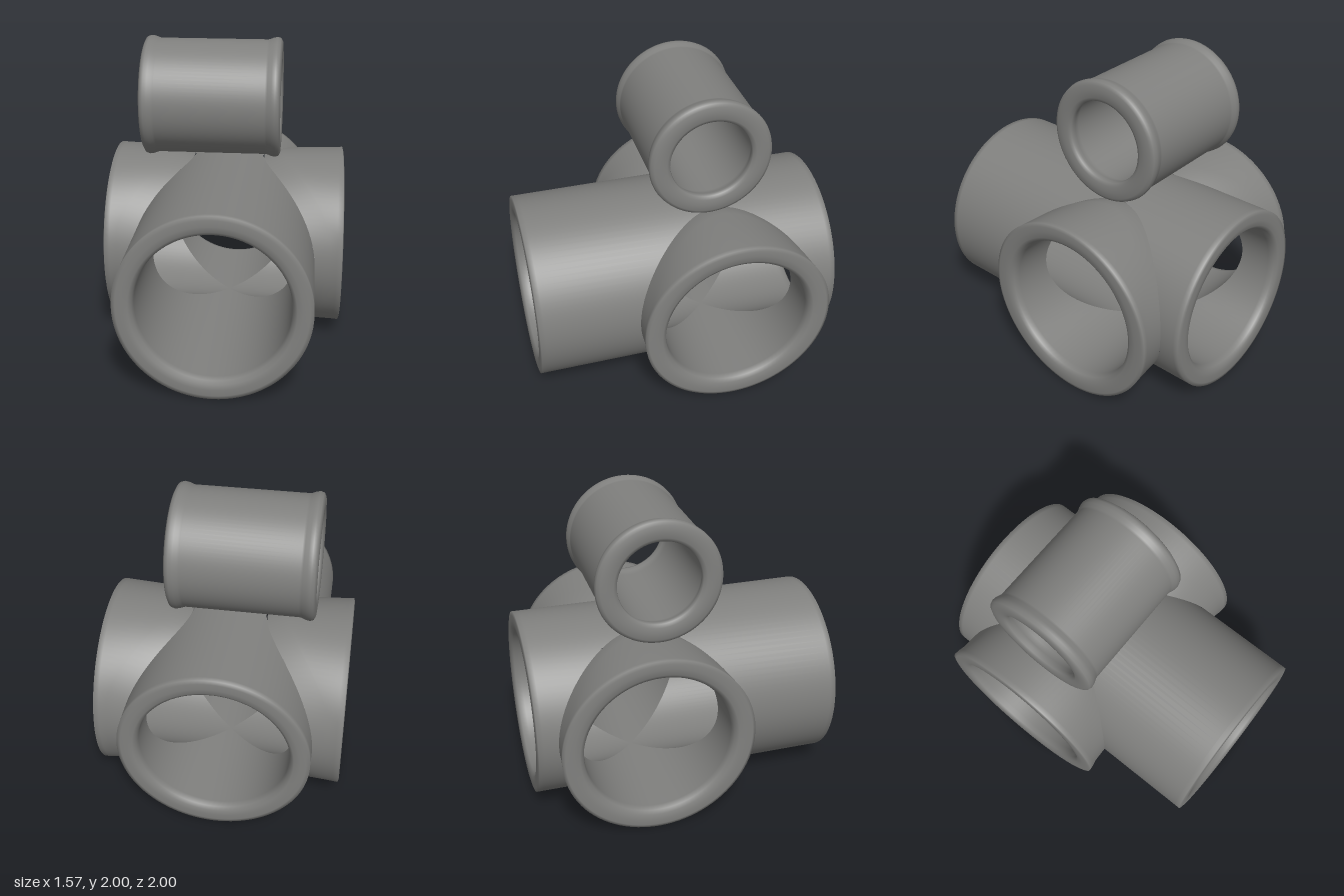
import * as THREE from 'three';

const SEGMENTS = 96;
const AXIS_Y = 0.608;   // height of the crossing pipe axes
const CROSS_Z = -0.26;  // where the pipes cross
const R = 0.605;        // outer radius
const BORE = 0.475;     // inner radius
const CROTCH = 0.555;   // side pipe half height where it meets the main pipe

// Tube wall along +z. profile(angle) lists [x radius, y radius, z] from the bore, round the lip, to the outside.
function tubeGeometry(profile, closed = false) {
  const positions = [], index = [];
  let n = 0;
  for (let i = 0; i < SEGMENTS; i++) {
    const a = (i / SEGMENTS) * Math.PI * 2;
    const points = profile(a);
    n = points.length;
    for (const [rx, ry, z] of points) positions.push(rx * Math.cos(a), ry * Math.sin(a), z);
  }
  for (let i = 0; i < SEGMENTS; i++) {
    const k = (i + 1) % SEGMENTS;
    for (let j = 0; j < (closed ? n : n - 1); j++) {
      const m = (j + 1) % n;
      const a = i * n + j, b = i * n + m, c = k * n + m, d = k * n + j;
      index.push(a, b, d, b, c, d);
    }
  }
  const geometry = new THREE.BufferGeometry();
  geometry.setAttribute('position', new THREE.Float32BufferAttribute(positions, 3));
  geometry.setIndex(index);
  geometry.computeVertexNormals();
  return geometry;
}

const round = (r, z) => [r, r, z];

// Half of the main pipe, cut away where the side pipes enter
function mainArm(length) {
  return tubeGeometry((a) => {
    const y = R * Math.sin(a);
    const innerStart = BORE * Math.abs(Math.cos(a));
    const outerStart = R * Math.sqrt(Math.max(0, 1 - (y / CROTCH) ** 2));
    return [
      round(BORE, innerStart),
      round(BORE, length - 0.06),
      round(BORE + 0.008, length - 0.02),
      round(BORE + 0.03, length - 0.003),
      round((R + BORE) / 2, length),
      round(R - 0.025, length - 0.001),
      round(R, length - 0.006),
      round(R, length - 0.04),
      round(R, outerStart),
    ];
  });
}

// Side pipe, with a slight flare at the mouth and a dip at the crotch
function sideArm(length) {
  return tubeGeometry((a) => {
    const innerStart = BORE * Math.abs(Math.cos(a));
    const outerStart = Math.sqrt(R * R - (CROTCH * Math.sin(a)) ** 2);
    return [
      round(BORE, innerStart),
      round(BORE, length - 0.06),
      round(BORE + 0.01, length - 0.02),
      round(BORE + 0.035, length - 0.003),
      round(0.55, length),
      [0.6, 0.585, length],
      [0.62, 0.606, length - 0.006],
      [0.617, 0.603, length - 0.04],
      [0.607, 0.592, Math.min(outerStart + 0.13, 0.7)],
      [R, CROTCH, outerStart],
    ];
  });
}

// Short sleeve with a rolled bead at both ends
function sleeve(length) {
  const half = [
    [0.282, 0.1], [0.272, 0.06], [0.263, 0.035], [0.268, 0.014], [0.29, 0.003],
    [0.33, 0], [0.37, 0.003], [0.391, 0.014], [0.398, 0.035], [0.394, 0.06],
    [0.384, 0.085], [0.381, 0.1],
  ];
  const front = half.map(([r, d]) => round(r, length / 2 - d));
  const back = half.map(([r, d]) => round(r, d - length / 2)).reverse();
  return tubeGeometry(() => [...front, ...back], true);
}

export function createModel() {
  const model = new THREE.Group();
  model.name = 'pipeFitting';
  const grey = new THREE.MeshStandardMaterial({ color: 0x80807e });
  grey.name = 'grey';

  function add(name, geometry, position, turn) {
    const mesh = new THREE.Mesh(geometry, grey);
    mesh.name = name;
    mesh.position.set(...position);
    mesh.rotation.y = turn;
    model.add(mesh);
  }

  // Four-way fitting
  const crossing = [0, AXIS_Y, CROSS_Z];
  add('frontPipe', mainArm(1 - CROSS_Z), crossing, 0);
  add('backPipe', mainArm(1 + CROSS_Z), crossing, Math.PI);
  add('leftPipe', sideArm(0.785), crossing, Math.PI / 2);
  add('rightPipe', sideArm(0.785), crossing, -Math.PI / 2);

  // Loose sleeve resting on top
  add('topSleeve', sleeve(0.912), [-0.1, 1.602, -0.192], Math.PI / 2);
  return model;
}
